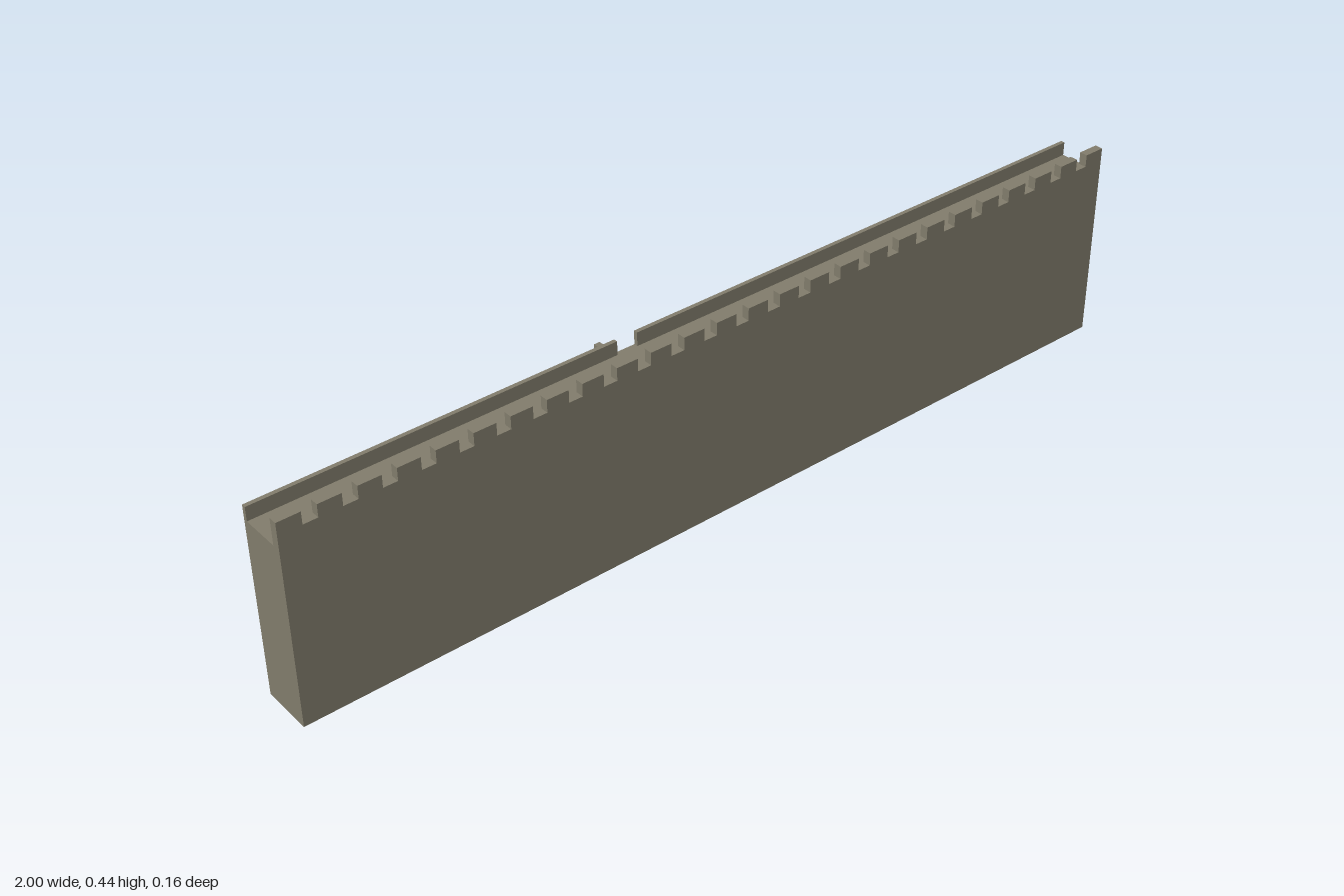
import * as THREE from 'three';

const stone = new THREE.MeshStandardMaterial({ color: 0x807b6b, side: THREE.DoubleSide, flatShading: true });
stone.name = 'stone';

const DECK = 0.388, FRONT = 0.08, BACK = -0.032, STAIR_BACK = -0.08;

// Removes the faces lying on the ground, leaving the hollow shell open below
function openBelow(geometry) {
  const source = geometry.index ? geometry.toNonIndexed() : geometry;
  const p = source.attributes.position, kept = [];
  for (let i = 0; i < p.count; i += 3) {
    if ([0, 1, 2].every(k => Math.abs(p.getY(i + k)) < 1e-5)) continue;
    for (let k = 0; k < 3; k++) kept.push(p.getX(i + k), p.getY(i + k), p.getZ(i + k));
  }
  const open = new THREE.BufferGeometry();
  open.setAttribute('position', new THREE.Float32BufferAttribute(kept, 3));
  open.computeVertexNormals();
  return open;
}

// Box given by its limits on each axis
function block(x0, x1, y0, y1, z0, z1) {
  return new THREE.BoxGeometry(x1 - x0, y1 - y0, z1 - z0)
    .translate((x0 + x1) / 2, (y0 + y1) / 2, (z0 + z1) / 2);
}

// Outline in x and y, extruded from z0 to z1
function slab(points, z0, z1) {
  const shape = new THREE.Shape(points.map(([x, y]) => new THREE.Vector2(x, y)));
  return new THREE.ExtrudeGeometry(shape, { depth: z1 - z0, bevelEnabled: false }).translate(0, 0, z0);
}

export function createModel() {
  const group = new THREE.Group();
  group.name = 'castleWall';
  const add = (name, geometry) => {
    const mesh = new THREE.Mesh(geometry, stone);
    mesh.name = name;
    group.add(mesh);
  };

  // Hollow wall with the walkway on top
  add('wall', openBelow(block(-1, 1, 0, DECK, BACK, FRONT)));

  // Front parapet with its row of merlons
  const merlons = 26, width = 0.048, pitch = (2 - width) / (merlons - 1);
  const crest = [[1, DECK], [-1, DECK]].reverse();
  for (let i = merlons - 1; i >= 0; i--) {
    const x = -1 + i * pitch;
    if (i < merlons - 1) crest.push([x + width, 0.418]);
    crest.push([x + width, 0.445], [x, 0.445]);
    if (i > 0) crest.push([x, 0.418]);
  }
  add('battlements', slab(crest, 0.062, FRONT));

  // Low rear parapet, open where the stair arrives
  add('rearParapetLeft', block(-0.17, 1, DECK, 0.418, BACK, -0.023));
  add('rearParapetRight', block(-1, -0.217, DECK, 0.418, BACK, -0.023));

  // Stair rising along the back of the wall
  const steps = 32, low = -0.645, high = -0.215;
  const run = (high - low) / steps, rise = DECK / steps;
  const profile = [[low, 0], [high, 0], [high, DECK]];
  for (let i = steps - 1; i >= 0; i--) {
    profile.push([low + i * run, (i + 1) * rise]);
    if (i > 0) profile.push([low + i * run, i * rise]);
  }
  add('stair', openBelow(slab(profile, STAIR_BACK, BACK)));

  return group;
}
